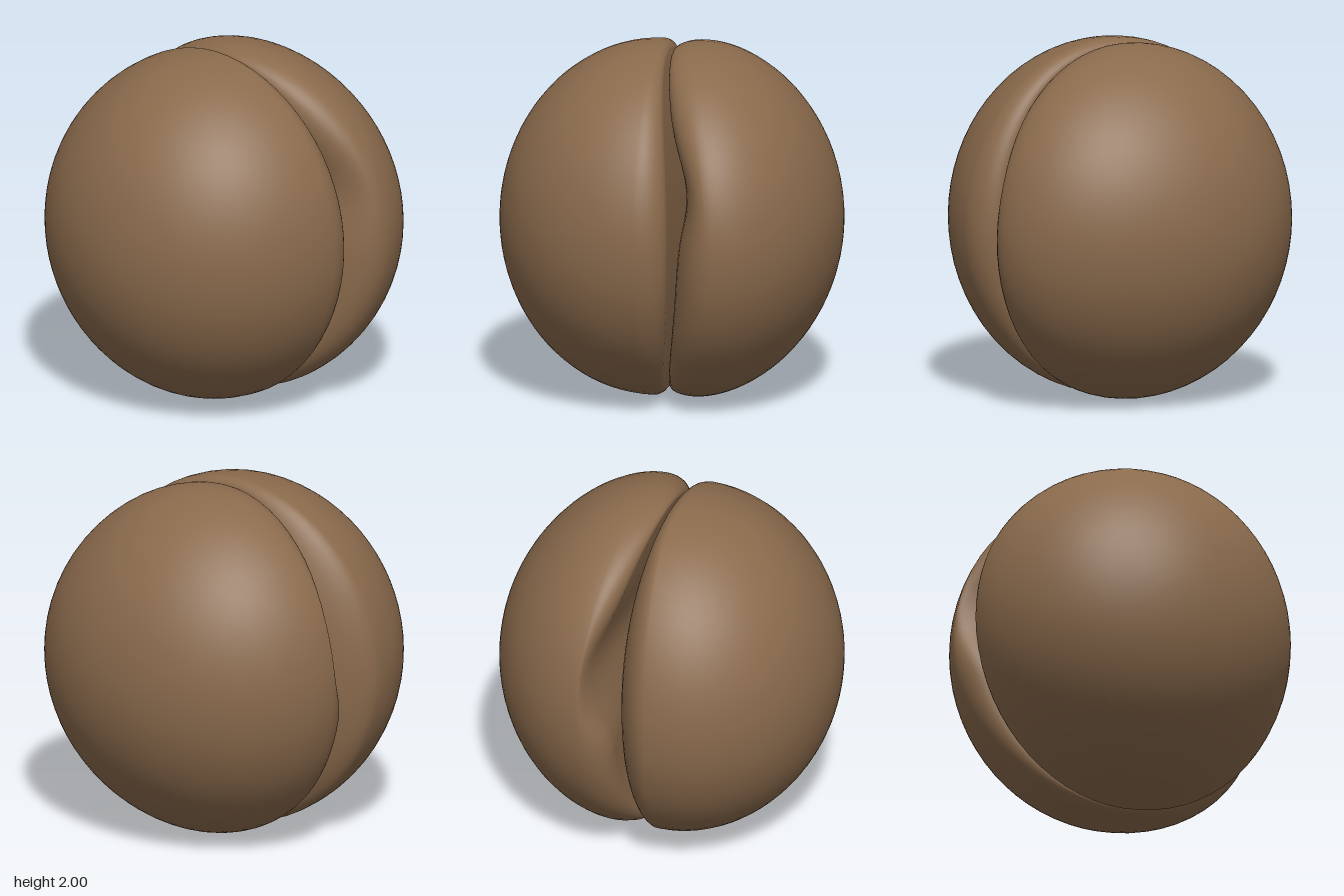
import * as THREE from 'three';
import { mergeVertices } from 'three/addons/utils/BufferGeometryUtils.js';

const RX = 0.92, RY = 1, SEGMENTS = 64;
const { lerp, smoothstep } = THREE.MathUtils;

// Inner faces follow one curved split; x is sideways, v is height from the middle
const split = v => 0.02 - 0.13 * (1 - v * v);
const leftover = x => 0.12 * Math.max(0, -x) ** 2;
const frontInner = (x, v) => split(v) + leftover(x);
const backInner = (x, v) => split(v) - 0.02
  - 0.07 * Math.exp(-(((v - 0.3) / 0.25) ** 2))
  + leftover(x) * smoothstep(-v, -0.1, 0.2);

// Value around the rim: one at the poles, one at each side
function around(theta, pole, plusX, minusX) {
  const c = Math.cos(theta);
  return lerp(pole, c > 0 ? plusX : minusX, c * c);
}

// A closed half: outer dome, rounded shoulder, then the inner face
function half({ tip, power, rim, shoulder, inner }) {
  const DOME = 24, ROLL = 10, FACE = 8, rings = DOME + ROLL + FACE;
  const positions = [], index = [];
  for (let i = 0; i <= rings; i++) {
    for (let j = 0; j < SEGMENTS; j++) {
      const theta = j / SEGMENTS * Math.PI * 2;
      const edge = around(theta, ...rim), w = around(theta, ...shoulder);
      let r, bend = 0, z;
      if (i <= DOME) {
        const a = i / DOME * Math.PI / 2;
        r = Math.sin(a);
        z = lerp(edge, tip, Math.max(0, Math.cos(a)) ** power);
      } else if (i <= DOME + ROLL) {
        const a = (i - DOME) / ROLL * Math.PI / 2;
        r = 1 - w + w * Math.cos(a);
        bend = Math.sin(a);
      } else {
        r = (1 - w) * (rings - i) / FACE;
        bend = 1;
      }
      const x = RX * r * Math.cos(theta), v = RY * r * Math.sin(theta);
      if (i > DOME) z = lerp(edge, inner(x, v), bend);
      positions.push(x, 1 + v, z);
    }
  }
  for (let i = 0; i < rings; i++) {
    for (let j = 0; j < SEGMENTS; j++) {
      const k = (j + 1) % SEGMENTS;
      const a = i * SEGMENTS + j, b = a + SEGMENTS;
      const c = (i + 1) * SEGMENTS + k, d = i * SEGMENTS + k;
      if (tip > 0) index.push(a, b, c, a, c, d);
      else index.push(a, c, b, a, d, c);
    }
  }
  let geometry = new THREE.BufferGeometry();
  geometry.setAttribute('position', new THREE.Float32BufferAttribute(positions, 3));
  geometry.setIndex(index);
  geometry = mergeVertices(geometry, 1e-5);
  geometry.computeVertexNormals();
  return geometry;
}

export function createModel() {
  const group = new THREE.Group();
  group.name = 'splitBean';
  const brown = new THREE.MeshStandardMaterial({ color: 0x8a6a4c });
  brown.name = 'brown';

  // rim and shoulder: [poles, +x side, -x side]
  const parts = {
    frontHalf: { tip: 0.96, power: 1, rim: [0.07, 0.07, 0.19], shoulder: [0.04, 0.14, 0.4], inner: frontInner },
    backHalf: { tip: -0.96, power: 1.12, rim: [-0.16, -0.36, -0.22], shoulder: [0.05, 0.4, 0.2], inner: backInner },
  };
  for (const [name, options] of Object.entries(parts)) {
    const mesh = new THREE.Mesh(half(options), brown);
    mesh.name = name;
    group.add(mesh);
  }
  return group;
}
